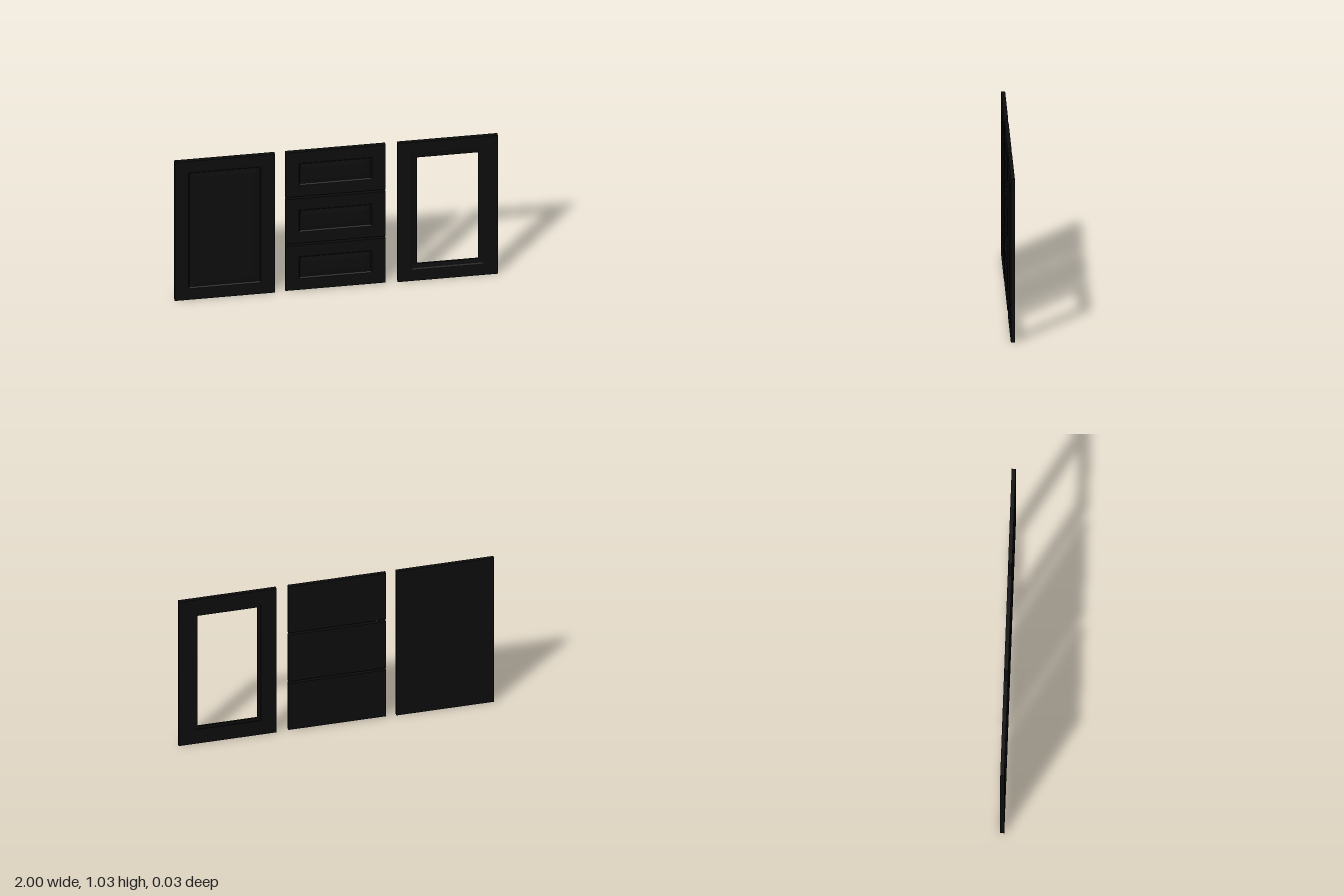
import * as THREE from 'three';

const material = new THREE.MeshStandardMaterial({ color: 0x0d0d0d, flatShading: true });
const B = -0.0125, F = 0.0125; // back and front planes
const CENTRE = 10;             // inset that collapses a ring to the panel centre

// Skins a series of rectangular rings, each given as [inset from the edge, z]
function ringPanel(name, x0, x1, y0, y1, rings) {
  const cx = (x0 + x1) / 2, cy = (y0 + y1) / 2;
  const hw = (x1 - x0) / 2, hh = (y1 - y0) / 2;
  const corners = rings.map(([inset, z]) => {
    const w = Math.max(0, hw - inset), h = Math.max(0, hh - inset);
    return [[-w, -h, z], [w, -h, z], [w, h, z], [-w, h, z]];
  });
  const pos = [];
  for (let r = 0; r < corners.length - 1; r++) {
    const a = corners[r], b = corners[r + 1];
    for (let i = 0; i < 4; i++) {
      const j = (i + 1) % 4;
      pos.push(...a[i], ...a[j], ...b[j], ...a[i], ...b[j], ...b[i]);
    }
  }
  const geometry = new THREE.BufferGeometry();
  geometry.setAttribute('position', new THREE.Float32BufferAttribute(pos, 3));
  geometry.computeVertexNormals();
  const mesh = new THREE.Mesh(geometry, material);
  mesh.name = name;
  mesh.position.set(cx, cy, 0);
  return mesh;
}

// Flat back, square edges, routed groove and a bevelled raised centre
const raisedPanel = [
  [CENTRE, B], [0, B], [0, F], [0.085, F], [0.092, F - 0.006],
  [0.1, F - 0.006], [0.125, F - 0.001], [CENTRE, F - 0.001],
];

// Closed frame section: stepped back, moulded front lip and an open middle
const openFrame = [
  [0.12, B + 0.006], [0.1, B + 0.006], [0.1, B], [0, B], [0, F], [0.085, F],
  [0.092, F - 0.004], [0.1, F - 0.004], [0.12, F - 0.008], [0.12, B + 0.006],
];

export function createModel() {
  const model = new THREE.Group();
  model.name = 'cabinetFronts';

  model.add(ringPanel('panelDoor', -1, -0.38, 0, 1.035, raisedPanel));

  // Stack of three drawer fronts
  const drawers = new THREE.Group();
  drawers.name = 'drawerFronts';
  [[0.005, 0.338], [0.353, 0.686], [0.702, 1.035]].forEach(([y0, y1], i) => {
    drawers.add(ringPanel(`drawerFront${i + 1}`, -0.315, 0.305, y0, y1, raisedPanel));
  });
  model.add(drawers);

  model.add(ringPanel('openFrameDoor', 0.38, 1, 0, 1.035, openFrame));
  return model;
}
